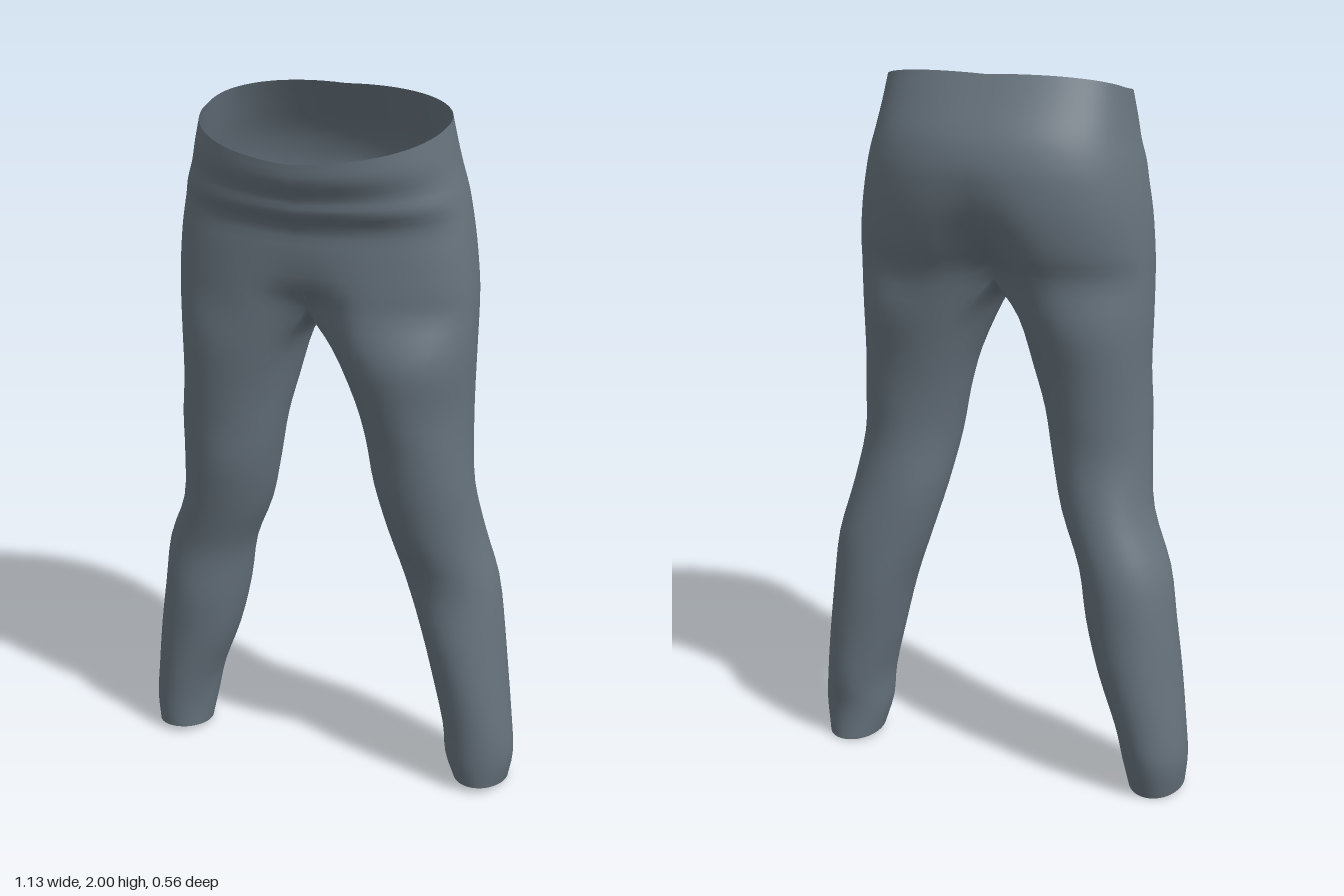
import * as THREE from 'three';
import { mergeVertices } from 'three/addons/utils/BufferGeometryUtils.js';

const OUT = 36, INN = 18, RING = OUT + INN; // columns on the outside and inside of a leg
const SUB = 3;                              // subdivisions between two rows
const SPREAD = 0.9;                         // how far the outer columns wrap to the inner thigh

// Pelvis rows: front y, back y, front z, back z, left half width, right half width, centre notch front, back
const PELVIS = [
  [1.88, 2.0, 0.28, -0.16, 0.35, 0.33, 0, 0],
  [1.83, 1.92, 0.275, -0.21, 0.362, 0.345, 0, 0],
  [1.78, 1.85, 0.245, -0.252, 0.375, 0.36, 0, 0],
  [1.74, 1.79, 0.24, -0.272, 0.39, 0.375, 0, 0],
  [1.69, 1.73, 0.203, -0.28, 0.402, 0.387, 0, 0.02],
  [1.62, 1.64, 0.205, -0.275, 0.417, 0.4, 0.02, 0.08],
  [1.53, 1.54, 0.21, -0.25, 0.43, 0.408, 0.12, 0.25],
  [1.46, 1.46, 0.215, -0.215, 0.434, 0.41, 0.38, 0.45],
];

// Leg rows: y, outer x, inner x, front z, back z
const LEFT = [
  [1.34, 0.434, 0.04, 0.22, -0.18], [1.2, 0.428, 0.1, 0.198, -0.155],
  [1.08, 0.432, 0.135, 0.18, -0.14], [0.95, 0.44, 0.16, 0.165, -0.13],
  [0.8, 0.465, 0.19, 0.13, -0.15], [0.65, 0.507, 0.235, 0.092, -0.165],
  [0.5, 0.525, 0.285, 0.1, -0.17], [0.35, 0.542, 0.325, 0.098, -0.163],
  [0.2, 0.56, 0.362, 0.09, -0.15], [0.1, 0.567, 0.37, 0.08, -0.135],
  [0.015, 0.552, 0.395, 0.065, -0.14],
];
const RIGHT = [
  [1.34, 0.41, 0.04, 0.195, -0.18], [1.2, 0.41, 0.085, 0.178, -0.155],
  [1.08, 0.414, 0.115, 0.165, -0.14], [0.95, 0.418, 0.14, 0.15, -0.135],
  [0.8, 0.437, 0.18, 0.12, -0.16], [0.65, 0.495, 0.24, 0.09, -0.185],
  [0.5, 0.52, 0.268, 0.088, -0.192], [0.35, 0.54, 0.305, 0.075, -0.195],
  [0.2, 0.558, 0.362, 0.06, -0.19], [0.1, 0.567, 0.385, 0.05, -0.18],
  [0.015, 0.556, 0.4, 0.045, -0.15],
];

// Point on the half ring of the pelvis, t from front centre (0) to back centre (1)
function pelvisPoint(row, side, t) {
  const [yf, yb, zf, zb, wl, wr, nf, nb] = row;
  const s = Math.sin(t * Math.PI), c = Math.cos(t * Math.PI);
  const x = (side > 0 ? wl : wr) * s;
  const mid = 0.02, front = c > 0;
  const notch = 1 - (front ? nf : nb) * Math.exp(-((x / 0.1) ** 2));
  const z = mid + ((front ? zf : zb) - mid) * Math.abs(c) ** 0.85 * notch;
  const y = (yf + yb) / 2 + (yf - yb) / 2 * c + (yb - yf) * 0.15 * s;
  return new THREE.Vector3(x * side, y, z);
}

// Saddle between the legs, t from back (0) to front (1)
function crotchPoint(side, t) {
  const last = PELVIS[PELVIS.length - 1];
  const back = pelvisPoint(last, side, 1), front = pelvisPoint(last, side, 0);
  const z = THREE.MathUtils.lerp(back.z, front.z, (1 - Math.cos(t * Math.PI)) / 2);
  return new THREE.Vector3(0, last[0] - 0.06 * Math.sin(t * Math.PI), z);
}

// Point on a leg ring for column j, with slight cloth wrinkles
function legPoint(row, side, j) {
  const [y, xo, xi, zf, zb] = row;
  const a = j <= OUT
    ? -SPREAD + (Math.PI + 2 * SPREAD) * j / OUT
    : Math.PI + SPREAD + (Math.PI - 2 * SPREAD) * (j - OUT) / INN;
  const r = 1 + 0.012 * Math.sin(3 * a + y * 17 + side);
  const z = (zf + zb) / 2 + (zf - zb) / 2 * Math.cos(a) * r;
  const x = (xo + xi) / 2 + (xo - xi) / 2 * Math.sin(a) * r;
  const tilt = y < 0.05 ? 0.1 * (z + 0.02) : 0;
  return new THREE.Vector3(x * side, y + tilt, z);
}

// One half of the garment: smooth columns running from waist or crotch to hem
function addHalf(side, pos, idx) {
  const legs = side > 0 ? LEFT : RIGHT;
  const top = (PELVIS.length - 1) * SUB;
  const rows = top + legs.length * SUB;
  const base = pos.length / 3;
  for (let j = 0; j < RING; j++) {
    const outer = j <= OUT;
    const pts = outer
      ? PELVIS.map((r) => pelvisPoint(r, side, j / OUT))
      : [crotchPoint(side, (j - OUT) / INN)];
    legs.forEach((r) => pts.push(legPoint(r, side, j)));
    const curve = new THREE.CatmullRomCurve3(pts, false, 'catmullrom', 0.5);
    const start = outer ? 0 : top;
    for (let i = 0; i <= rows; i++) {
      const p = curve.getPoint(Math.max(0, i - start) / (rows - start));
      if (i <= top && (j === 0 || j === OUT)) p.x = 0;
      pos.push(p.x, p.y, p.z);
    }
  }
  const at = (i, j) => base + (j % RING) * (rows + 1) + i;
  for (let j = 0; j < RING; j++) {
    for (let i = j < OUT ? 0 : top; i < rows; i++) {
      const a = at(i, j), b = at(i + 1, j), c = at(i + 1, j + 1), d = at(i, j + 1);
      if (side > 0) idx.push(a, b, d, b, c, d);
      else idx.push(a, d, b, b, d, c);
    }
  }
}

export function createModel() {
  const cloth = new THREE.MeshStandardMaterial({ color: 0x66727c, side: THREE.DoubleSide });
  cloth.name = 'slate grey cloth';

  const pos = [], idx = [];
  addHalf(1, pos, idx);
  addHalf(-1, pos, idx);
  let geo = new THREE.BufferGeometry();
  geo.setAttribute('position', new THREE.Float32BufferAttribute(pos, 3));
  geo.setIndex(idx);
  geo = mergeVertices(geo, 1e-4); // joins both halves along the centre seam
  geo.computeVertexNormals();

  const trousers = new THREE.Mesh(geo, cloth);
  trousers.name = 'trousers';
  const group = new THREE.Group();
  group.name = 'trousersModel';
  group.add(trousers);
  return group;
}
